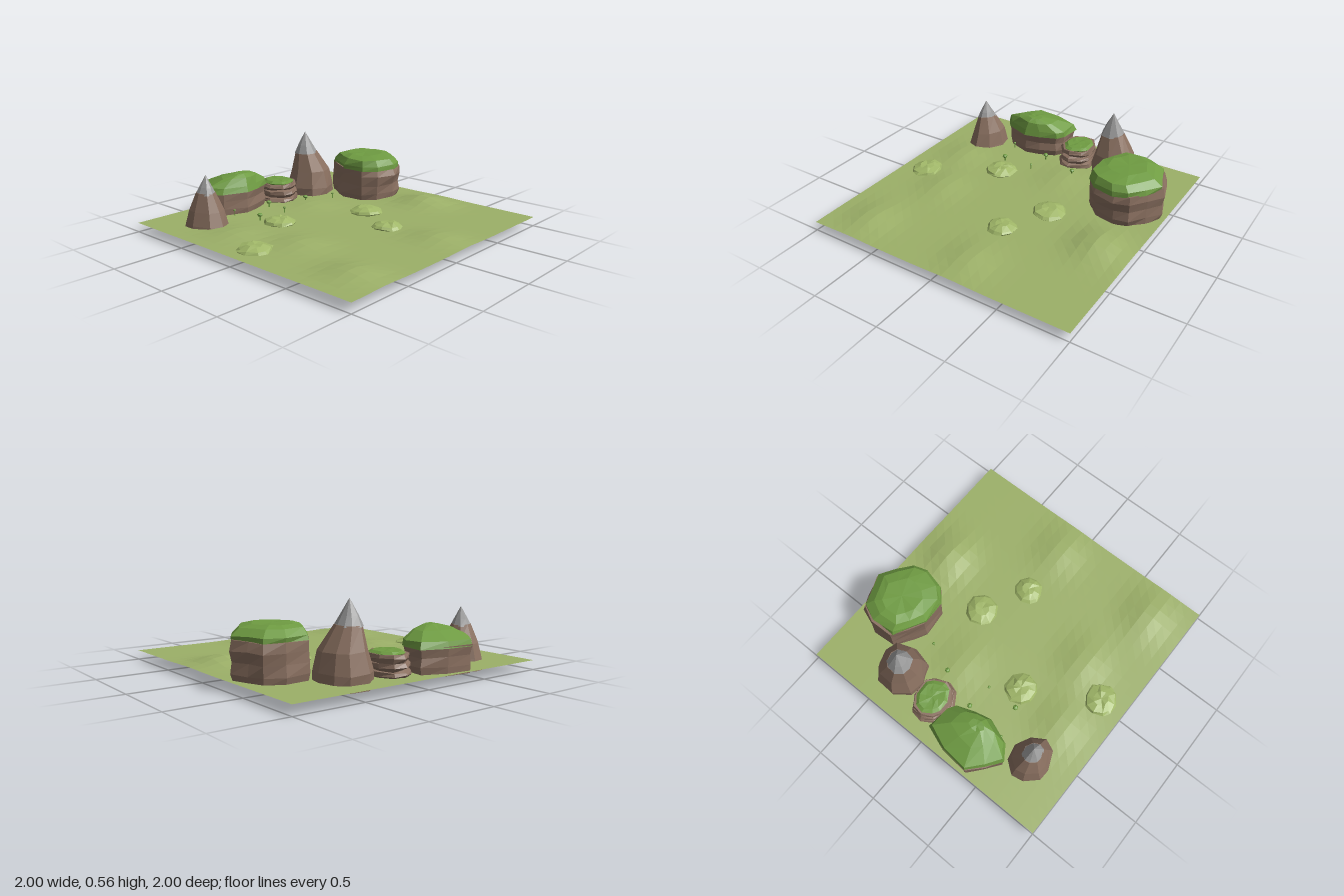
import * as THREE from 'three';

const mat = (name, color) =>
  Object.assign(new THREE.MeshStandardMaterial({ color, flatShading: true, side: THREE.DoubleSide }), { name });

// Repeatable noise in -1..1
const noise = (a, b) => {
  const s = Math.sin(a * 127.1 + b * 311.7) * 43758.5453;
  return 2 * (s - Math.floor(s)) - 1;
};
const clamp = (v) => Math.max(-1, Math.min(1, v));

// Uneven round outline, running from +x towards +z
function roundOutline(n, rx, rz, seed, rough = 0.06) {
  return Array.from({ length: n }, (_, i) => {
    const a = ((i + 0.25 * noise(i, seed)) / n) * Math.PI * 2;
    const k = 1 + rough * noise(seed, i + 7);
    return [Math.cos(a) * rx * k, Math.sin(a) * rz * k];
  });
}

// Stacks scaled copies of an outline; each level is [y, scale, shiftX, shiftZ]
function loft(outline, cx, cz, levels, jitter, seed, closeBottom = false) {
  const n = outline.length;
  const rings = levels.map(([y, s, dx = 0, dz = 0], l) =>
    outline.map(([x, z], i) => {
      const k = s * (1 + jitter * noise(i + seed, l * 3 + 1));
      const lift = l > 0 && s > 0 ? jitter * 0.14 * noise(l + 5, i + seed) : 0;
      return new THREE.Vector3(clamp(cx + dx + x * k), y + lift, clamp(cz + dz + z * k));
    }));
  const pos = [];
  const tri = (a, b, c) => {
    if (new THREE.Triangle(a, b, c).getArea() > 1e-8) for (const p of [a, b, c]) pos.push(p.x, p.y, p.z);
  };
  const middle = (ring) => ring.reduce((m, p) => m.addScaledVector(p, 1 / n), new THREE.Vector3());
  const top = rings[rings.length - 1], topMid = middle(top), lowMid = middle(rings[0]);
  for (let i = 0; i < n; i++) {
    const j = (i + 1) % n;
    for (let l = 0; l + 1 < rings.length; l++) {
      const lo = rings[l], hi = rings[l + 1];
      tri(lo[i], hi[i], lo[j]);
      tri(lo[j], hi[i], hi[j]);
    }
    tri(top[i], topMid, top[j]);
    if (closeBottom) tri(rings[0][j], lowMid, rings[0][i]);
  }
  const g = new THREE.BufferGeometry();
  g.setAttribute('position', new THREE.Float32BufferAttribute(pos, 3));
  g.computeVertexNormals();
  return g;
}

export function createModel() {
  const model = new THREE.Group();
  model.name = 'rockyMeadow';
  const grass = mat('meadow green', 0x9cb068);
  const moundGreen = mat('mound green', 0xa0b768);
  const moss = mat('moss green', 0x6f9c42);
  const rock = mat('rock brown', 0x8a7060);
  const stone = mat('peak grey', 0x9c9c9c);

  const add = (name, geometry, material, parent = model) => {
    const m = new THREE.Mesh(geometry, material);
    m.name = name;
    parent.add(m);
    return m;
  };

  // Meadow: thin sheet with soft rises
  const hills = [[0.2, -0.75, 0.06], [0.76, -0.13, 0.035], [-0.4, -0.13, 0.022],
    [0.16, 0.55, 0.032], [0.75, 0.7, 0.04], [-0.3, 0.7, 0.03]];
  const ground = new THREE.PlaneGeometry(2, 2, 24, 24).rotateX(-Math.PI / 2);
  const p = ground.attributes.position;
  for (let i = 0; i < p.count; i++) {
    let y = 0.066;
    for (const [x, z, h] of hills) {
      const d = (p.getX(i) - x) ** 2 / 0.034 + (p.getZ(i) - z) ** 2 / 0.024;
      y += h * Math.exp(-d);
    }
    p.setY(i, y);
  }
  ground.computeVertexNormals();
  add('meadow', ground, grass);

  // Low grassy mounds
  [[0.02, -0.28, 0.122], [0.36, -0.11, 0.105], [-0.27, 0.32, 0.12], [0.02, 0.81, 0.12]].forEach(([x, z, r], i) => {
    add('mound', loft(roundOutline(10, r, r, i + 2, 0.04), x, z,
      [[0.052, 0.85], [0.07, 1], [0.088, 0.86], [0.104, 0.45]], 0.05, i * 11), moundGreen);
  });

  // Large cliff with a mossy top
  const bigOutline = [[0.28, 0.01], [0.24, 0.17], [0.15, 0.26], [-0.04, 0.27], [-0.16, 0.21], [-0.27, 0.14],
    [-0.28, -0.04], [-0.22, -0.17], [-0.11, -0.21], [0.02, -0.26], [0.14, -0.19], [0.25, -0.1]];
  add('largeCliff', loft(bigOutline, -0.34, -0.73,
    [[0.05, 0.9], [0.11, 0.95], [0.18, 0.93], [0.25, 0.98], [0.31, 0.94]], 0.04, 3, true), rock);
  add('largeCliffMoss', loft(bigOutline, -0.34, -0.73,
    [[0.3, 0.93, 0.015, 0.01], [0.335, 0.92, 0.015, 0.012], [0.38, 0.78, 0.025, 0.03], [0.398, 0.5, 0, 0.03]],
    0.03, 8), moss);

  // Side cliff with a mossy top
  const sideOutline = [[0.19, 0.03], [0.12, 0.21], [0.02, 0.28], [-0.09, 0.21], [-0.2, 0.11],
    [-0.18, -0.09], [-0.11, -0.27], [0.05, -0.26], [0.11, -0.22], [0.16, -0.09]];
  add('sideCliff', loft(sideOutline, -0.79, 0.29,
    [[0.05, 0.92], [0.11, 0.96], [0.17, 0.93], [0.235, 0.96]], 0.04, 21, true), rock);
  add('sideCliffMoss', loft(sideOutline, -0.79, 0.29,
    [[0.225, 1], [0.27, 0.93, 0.005], [0.325, 0.56, 0.05], [0.348, 0.2, 0.08]], 0.03, 25), moss);

  // Layered slab rock with a moss patch
  const slab = roundOutline(10, 0.165, 0.145, 5, 0.05);
  add('slabRock', loft(slab, -0.73, -0.1,
    [[0.05, 0.8], [0.08, 1], [0.1, 0.97], [0.105, 0.8], [0.13, 0.95], [0.15, 0.92], [0.155, 0.78],
      [0.18, 0.92], [0.205, 0.86]], 0.05, 31), rock);
  add('slabRockMoss', loft(slab, -0.73, -0.1, [[0.18, 0.7], [0.207, 0.76], [0.221, 0.6], [0.222, 0.3]], 0.02, 36), moss);

  // Pointed rocks with bare grey tips
  const spire = (name, x, z, rx, rz, seed, body, tip) => {
    const outline = roundOutline(9, rx, rz, seed, 0.05);
    const group = new THREE.Group();
    group.name = name;
    model.add(group);
    add('spireBody', loft(outline, x, z, body, 0.04, seed), rock, group);
    add('spireTip', loft(outline, x, z, tip, 0.02, seed), stone, group);
  };
  spire('tallSpire', -0.7, -0.42, 0.185, 0.19, 12,
    [[0.02, 0.97], [0.12, 0.96], [0.25, 0.8], [0.4, 0.45, -0.01, 0.03]],
    [[0.39, 0.48, -0.01, 0.03], [0.455, 0.3, -0.01, 0.035], [0.56, 0, -0.01, 0.035]]);
  spire('shortSpire', -0.62, 0.68, 0.175, 0.148, 17,
    [[0, 1.08], [0.08, 0.97], [0.18, 0.78], [0.3, 0.43, 0.005, 0.01]],
    [[0.29, 0.46, 0.005, 0.01], [0.34, 0.3, 0.01, 0.01], [0.425, 0, 0.01, 0.01]]);

  // Small sprouts: stem and rounded leaf clump
  [[-0.5, -0.17, 0.02], [-0.6, 0.12, 0.02], [-0.41, 0.38, 0.021],
    [-0.41, -0.38, 0.011], [-0.41, 0.14, 0.011], [-0.63, 0.43, 0.011]].forEach(([x, z, r]) => {
    const sprout = new THREE.Group();
    sprout.name = 'sprout';
    sprout.position.set(x, 0.06, z);
    model.add(sprout);
    add('stem', new THREE.CylinderGeometry(r * 0.25, r * 0.35, 0.045, 5).translate(0, 0.022, 0), moss, sprout);
    add('leaves', new THREE.IcosahedronGeometry(r, 0).scale(1, 0.7, 1).translate(0, 0.046, 0), moss, sprout);
  });

  return model;
}
